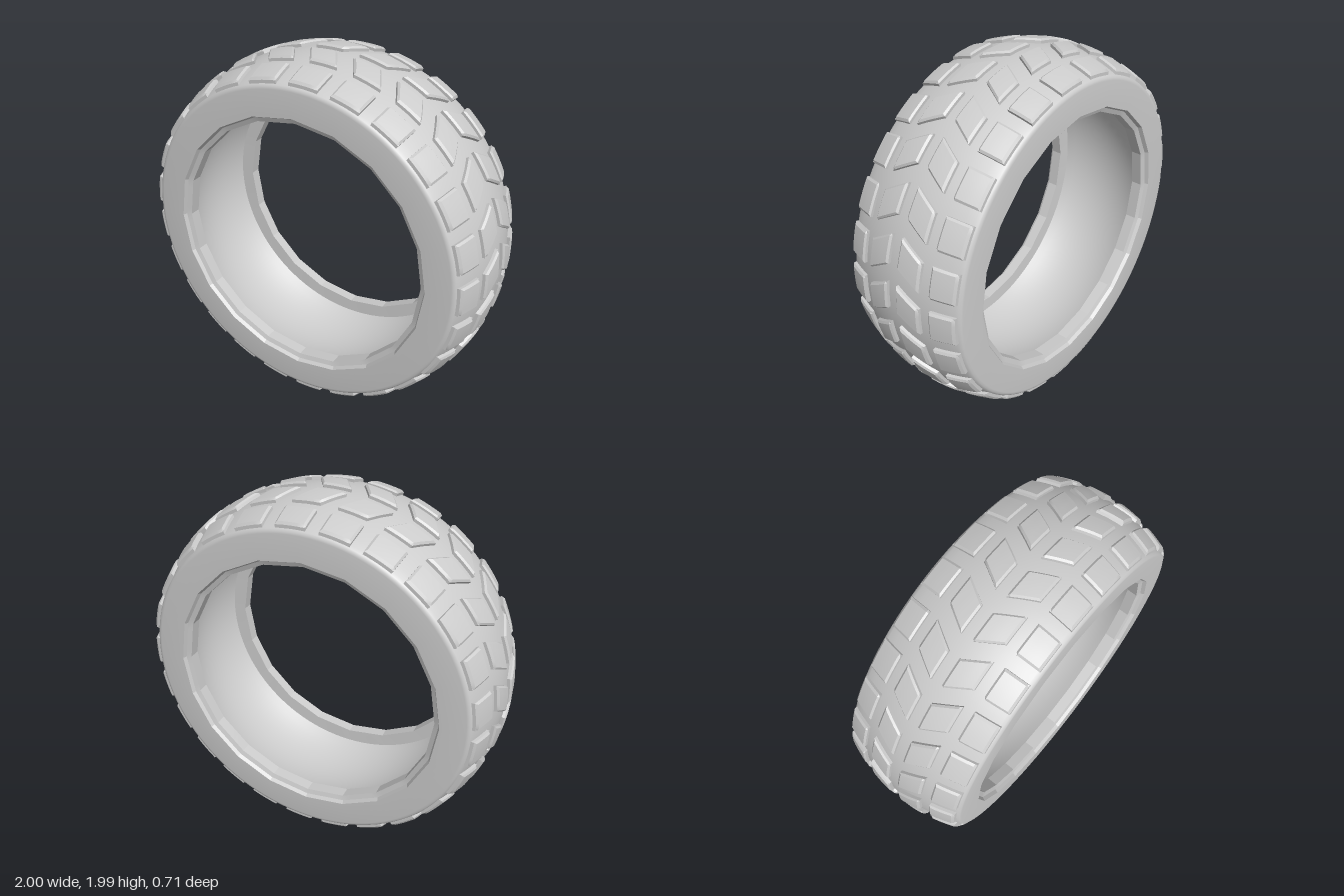
import * as THREE from 'three';
import { toCreasedNormals } from 'three/addons/utils/BufferGeometryUtils.js';

const BLOCKS = 25;   // tread blocks per row
const SIDES = 20;    // sides of the polygonal bead opening
const rad = THREE.MathUtils.degToRad;
const material = new THREE.MeshStandardMaterial({ color: 0xcccccc });

// Crowned tread radius at a given width position
const treadRadius = (z) => 0.975 - 0.6 * z * z;

function addMesh(parent, name, geometry, crease) {
  const mesh = new THREE.Mesh(toCreasedNormals(geometry, crease), material);
  mesh.name = name;
  parent.add(mesh);
}

// Revolve a [radius, z] profile about z; radii below 0.76 become polygonal
function revolve(profile) {
  const geo = new THREE.LatheGeometry(profile.map(([r, z]) => new THREE.Vector2(r, z)), 100);
  geo.rotateX(Math.PI / 2);
  const p = geo.attributes.position;
  const step = (2 * Math.PI) / SIDES;
  for (let i = 0; i < p.count; i++) {
    const x = p.getX(i), y = p.getY(i);
    if (Math.hypot(x, y) > 0.76) continue;
    const a = Math.atan2(x, y) + 2 * Math.PI + 1e-6;
    const k = Math.cos(step / 2) / Math.cos((a % step) - step / 2);
    p.setXY(i, x * k, y * k);
  }
  return geo;
}

// Bevelled block wrapped on the tread; side edges may be skewed between z0 and z1
function treadBlock(angle0, angle1, z0, z1, halfAngle) {
  const us = [0, 0, 0.07, 0.28, 0.5, 0.72, 0.93, 1, 1];
  const vs = [0, 0, 0.08, 0.36, 0.64, 0.92, 1, 1];
  const heights = [-0.012, 0.015, 0.024];
  const pos = [], index = [];
  const nu = us.length, nv = vs.length;
  vs.forEach((v, j) => us.forEach((u, i) => {
    const ring = Math.min(i, j, nu - 1 - i, nv - 1 - j, 2);
    const z = z0 + (z1 - z0) * v;
    const a = angle0 + (angle1 - angle0) * v + (2 * u - 1) * halfAngle;
    const r = treadRadius(z) + heights[ring];
    pos.push(r * Math.sin(a), r * Math.cos(a), z);
  }));
  for (let j = 0; j < nv - 1; j++) {
    for (let i = 0; i < nu - 1; i++) {
      if ((i === 0 || i === nu - 2) && (j === 0 || j === nv - 2)) continue;
      const a = j * nu + i, b = a + 1, c = a + nu, d = c + 1;
      // z0 < z1 with clockwise angle: keep faces pointing outward
      index.push(a, c, b, b, c, d);
    }
  }
  const geo = new THREE.BufferGeometry();
  geo.setAttribute('position', new THREE.Float32BufferAttribute(pos, 3));
  geo.setIndex(index);
  return geo;
}

export function createModel() {
  const model = new THREE.Group();
  model.name = 'tyre';
  const tyre = new THREE.Group();
  tyre.name = 'tyreBody';
  tyre.position.y = 1;
  model.add(tyre);

  // Carcass: sidewalls, rounded shoulders and crowned outer surface
  const shoulder = [[0.745, 0.355], [0.88, 0.355], [0.892, 0.353], [0.901, 0.345]];
  const carcass = shoulder.map(([r, z]) => [r, -z]);
  for (let i = -8; i <= 8; i++) {
    const z = (i / 8) * 0.33;
    carcass.push([treadRadius(z), z]);
  }
  carcass.push(...shoulder.slice().reverse());
  addMesh(tyre, 'carcass', revolve(carcass), 0.8);

  // Inside: stepped bead lips with a hollow between them
  const bead = [[0.745, 0.355], [0.735, 0.335], [0.71, 0.325], [0.71, 0.265]];
  const inside = bead.slice();
  for (let i = 6; i >= -6; i--) {
    const z = (i / 6) * 0.26;
    inside.push([0.84 - 0.9 * z * z, z]);
  }
  inside.push(...bead.map(([r, z]) => [r, -z]).reverse());
  addMesh(tyre, 'beadAndCavity', revolve(inside), 0.28);

  // Tread: square shoulder blocks and slanted centre blocks, mirrored in z
  for (let n = 0; n < BLOCKS; n++) {
    const a = rad(3.6 + (n * 360) / BLOCKS);
    const lead = a - rad(4.5);
    addMesh(tyre, 'frontShoulderBlock', treadBlock(a, a, 0.213, 0.34, rad(5)), 0.5);
    addMesh(tyre, 'rearShoulderBlock', treadBlock(a, a, -0.34, -0.213, rad(5)), 0.5);
    addMesh(tyre, 'frontCentreBlock', treadBlock(lead, a, 0.03, 0.16, rad(4.5)), 0.5);
    addMesh(tyre, 'rearCentreBlock', treadBlock(a, lead, -0.16, -0.03, rad(4.5)), 0.5);
  }
  return model;
}
